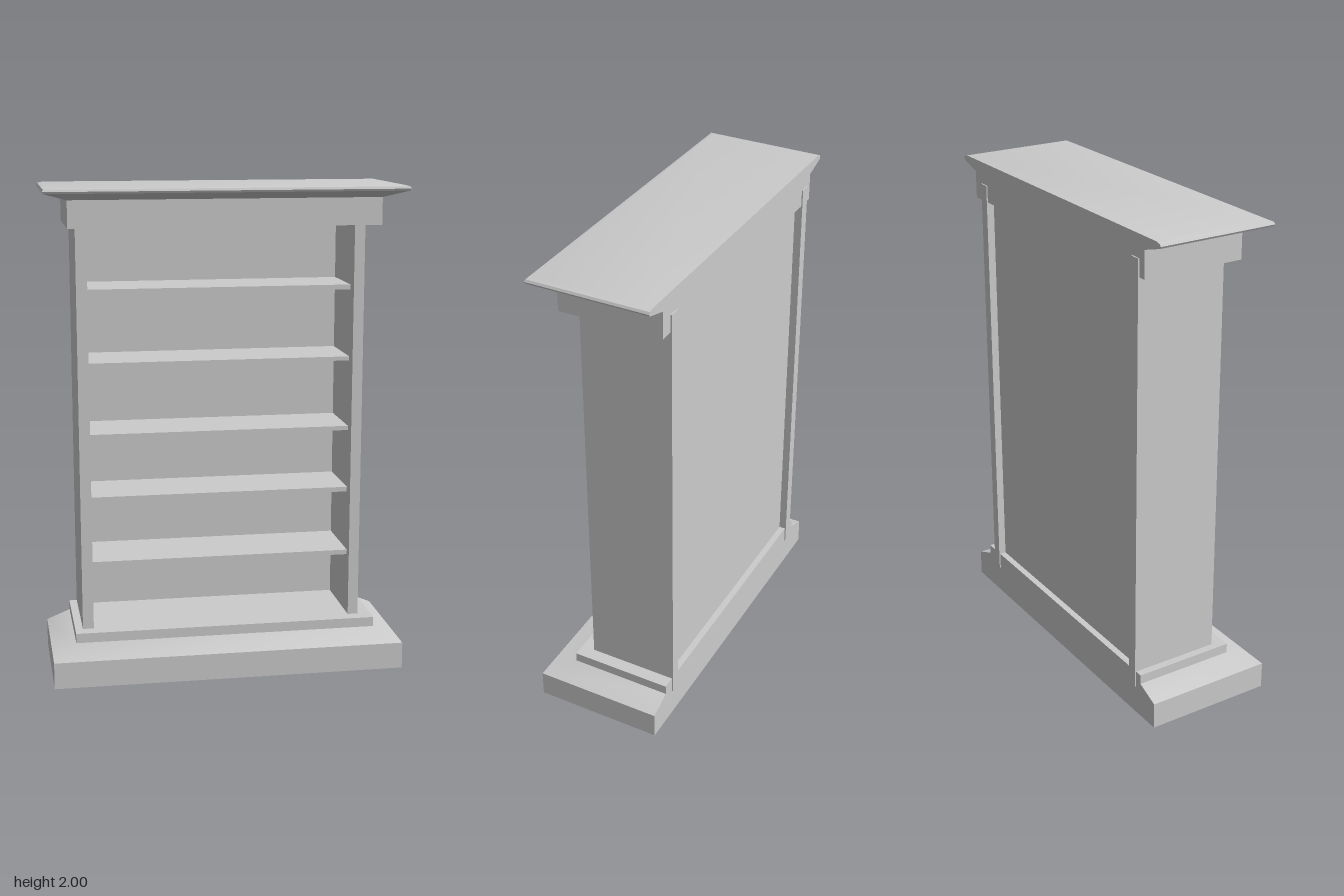
import * as THREE from 'three';
import { toCreasedNormals } from 'three/addons/utils/BufferGeometryUtils.js';

const BACK = -0.265;

export function createModel() {
  const model = new THREE.Group();
  const material = new THREE.MeshStandardMaterial({ color: 0xcccccc });

  function add(name, geometry) {
    const mesh = new THREE.Mesh(geometry, material);
    mesh.name = name;
    model.add(mesh);
  }

  // Box given by its limits on each axis
  function box(name, x0, x1, y0, y1, z0, z1) {
    const g = new THREE.BoxGeometry(x1 - x0, y1 - y0, z1 - z0);
    g.translate((x0 + x1) / 2, (y0 + y1) / 2, (z0 + z1) / 2);
    add(name, g);
  }

  // Moulding with a flat back: rings of [half width, front z, y], bottom to top
  function moulding(name, rings) {
    const positions = [];
    const index = [];
    for (const [w, z, y] of rings) {
      positions.push(-w, y, z, w, y, z, w, y, BACK, -w, y, BACK);
    }
    for (let r = 0; r < rings.length - 1; r++) {
      for (let i = 0; i < 4; i++) {
        const a = r * 4 + i;
        const b = r * 4 + (i + 1) % 4;
        index.push(a, b, b + 4, a, b + 4, a + 4);
      }
    }
    const t = (rings.length - 1) * 4;
    index.push(0, 2, 1, 0, 3, 2, t, t + 1, t + 2, t, t + 2, t + 3);
    const g = new THREE.BufferGeometry();
    g.setAttribute('position', new THREE.Float32BufferAttribute(positions, 3));
    g.setIndex(index);
    add(name, toCreasedNormals(g, 0.6));
  }

  // Stepped plinth with a sloped shoulder
  moulding('plinth', [[0.725, 0.27, 0], [0.725, 0.27, 0.11], [0.627, 0.16, 0.15]]);
  box('plinthStep', -0.627, 0.627, 0.15, 0.19, BACK, 0.16);

  // Side panels, standing slightly proud of the back of plinth and frieze
  const sides = [['rightSide', -0.595, -0.55], ['leftSide', 0.53, 0.573]];
  for (const [name, x0, x1] of sides) {
    box(name, x0, x1, 0.12, 1.91, -0.27, 0.105);
  }

  // Recessed back panel
  box('backPanel', -0.55, 0.53, 0.19, 1.84, -0.238, -0.218);

  // Shelves: [bottom, top, front z]
  const shelves = [
    [0.445, 0.465, 0.07], [0.715, 0.735, 0.05], [0.98, 0.998, 0.05],
    [1.275, 1.292, 0.05], [1.57, 1.59, 0.05],
  ];
  shelves.forEach(([y0, y1, z], i) => box(`shelf${i + 1}`, -0.55, 0.53, y0, y1, -0.218, z));

  // Frieze and flared crown with softened top edge
  box('frieze', -0.627, 0.627, 1.84, 1.95, BACK, 0.16);
  moulding('crown', [
    [0.627, 0.16, 1.95], [0.72, 0.228, 1.978], [0.725, 0.232, 1.986],
    [0.72, 0.228, 1.995], [0.7, 0.21, 2],
  ]);

  return model;
}
